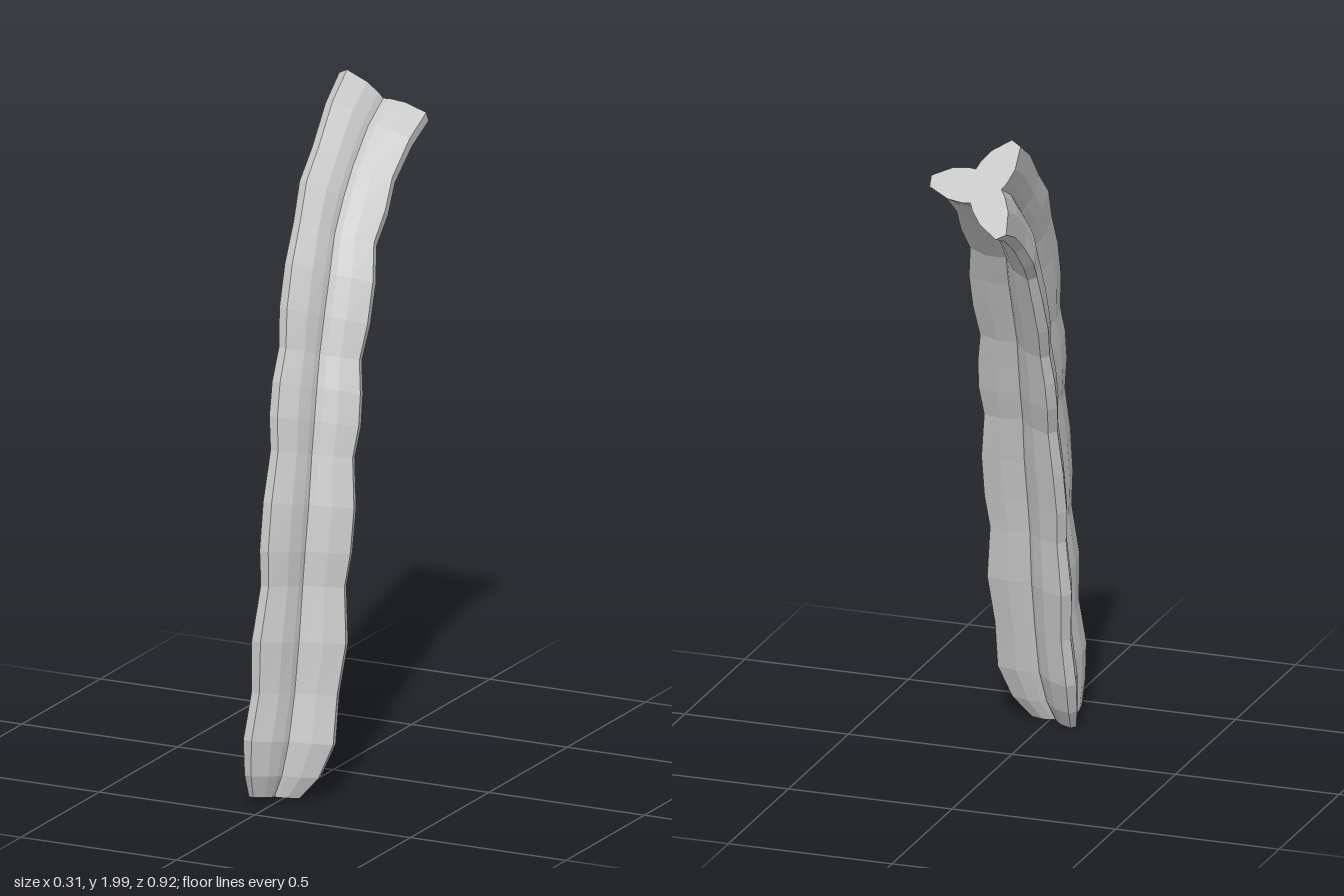
import * as THREE from 'three';

// Rings up the stalk: x, y, z, radius, twist in degrees
const RINGS = [
  [-0.03, 0.015, 0.335, 0.085, -13], [-0.015, 0.08, 0.325, 0.125, -13],
  [-0.005, 0.18, 0.308, 0.152, -13], [0, 0.32, 0.28, 0.145, -14],
  [0, 0.47, 0.258, 0.16, -15], [0, 0.63, 0.232, 0.143, -16],
  [0, 0.73, 0.22, 0.155, -16], [0, 0.86, 0.195, 0.155, -15],
  [-0.005, 1.0, 0.16, 0.14, -14], [-0.01, 1.09, 0.135, 0.152, -13],
  [-0.015, 1.18, 0.108, 0.15, -12], [-0.02, 1.27, 0.075, 0.137, -11],
  [-0.025, 1.37, 0.038, 0.15, -10], [-0.03, 1.48, -0.01, 0.15, -8],
  [-0.04, 1.58, -0.065, 0.138, -6], [-0.045, 1.66, -0.125, 0.15, -5],
  [-0.05, 1.735, -0.2, 0.142, -3], [-0.053, 1.82, -0.3, 0.152, -1],
  [-0.055, 1.87, -0.395, 0.16, 0],
];

// One lobe of the three-lobed section: angle from the ridge, relative radius
const LOBE = [[-45, 0.46], [-25, 0.68], [-6, 1], [6, 1], [25, 0.68], [45, 0.46], [60, 0.36]];

function lobedStalk() {
  const section = [];
  for (let lobe = 0; lobe < 3; lobe++) {
    for (const [angle, r] of LOBE) section.push([angle + lobe * 120, r]);
  }
  const n = section.length;
  const last = RINGS.length - 1;
  const pos = [];
  const index = [];

  // Each ring stands square to the bent centre line
  RINGS.forEach(([x, y, z, radius, twist], i) => {
    const a = RINGS[Math.max(i - 1, 0)];
    const b = RINGS[Math.min(i + 1, last)];
    const len = Math.hypot(b[1] - a[1], b[2] - a[2]);
    const ty = (b[1] - a[1]) / len;
    const tz = (b[2] - a[2]) / len;
    for (const [angle, r] of section) {
      const t = THREE.MathUtils.degToRad(angle + twist);
      const u = Math.cos(t) * r * radius;
      const v = Math.sin(t) * r * radius;
      pos.push(x + u, y - tz * v, z + ty * v);
    }
  });

  // Sides
  for (let i = 0; i < last; i++) {
    for (let j = 0; j < n; j++) {
      const k = (j + 1) % n;
      const a = i * n + j, b = i * n + k, c = a + n, d = b + n;
      index.push(a, c, b, b, c, d);
    }
  }

  // Flat ends
  const bottom = pos.length / 3;
  pos.push(...RINGS[0].slice(0, 3), ...RINGS[last].slice(0, 3));
  for (let j = 0; j < n; j++) {
    const k = (j + 1) % n;
    index.push(bottom, j, k, bottom + 1, last * n + k, last * n + j);
  }

  const indexed = new THREE.BufferGeometry();
  indexed.setAttribute('position', new THREE.Float32BufferAttribute(pos, 3));
  indexed.setIndex(index);
  const geometry = indexed.toNonIndexed();
  geometry.computeVertexNormals(); // faceted
  return geometry;
}

export function createModel() {
  const group = new THREE.Group();
  group.name = 'bentStalk';
  const grey = new THREE.MeshStandardMaterial({ color: 0xc8c8c8 });
  grey.name = 'light grey';
  const stalk = new THREE.Mesh(lobedStalk(), grey);
  stalk.name = 'stalk';
  group.add(stalk);
  return group;
}
